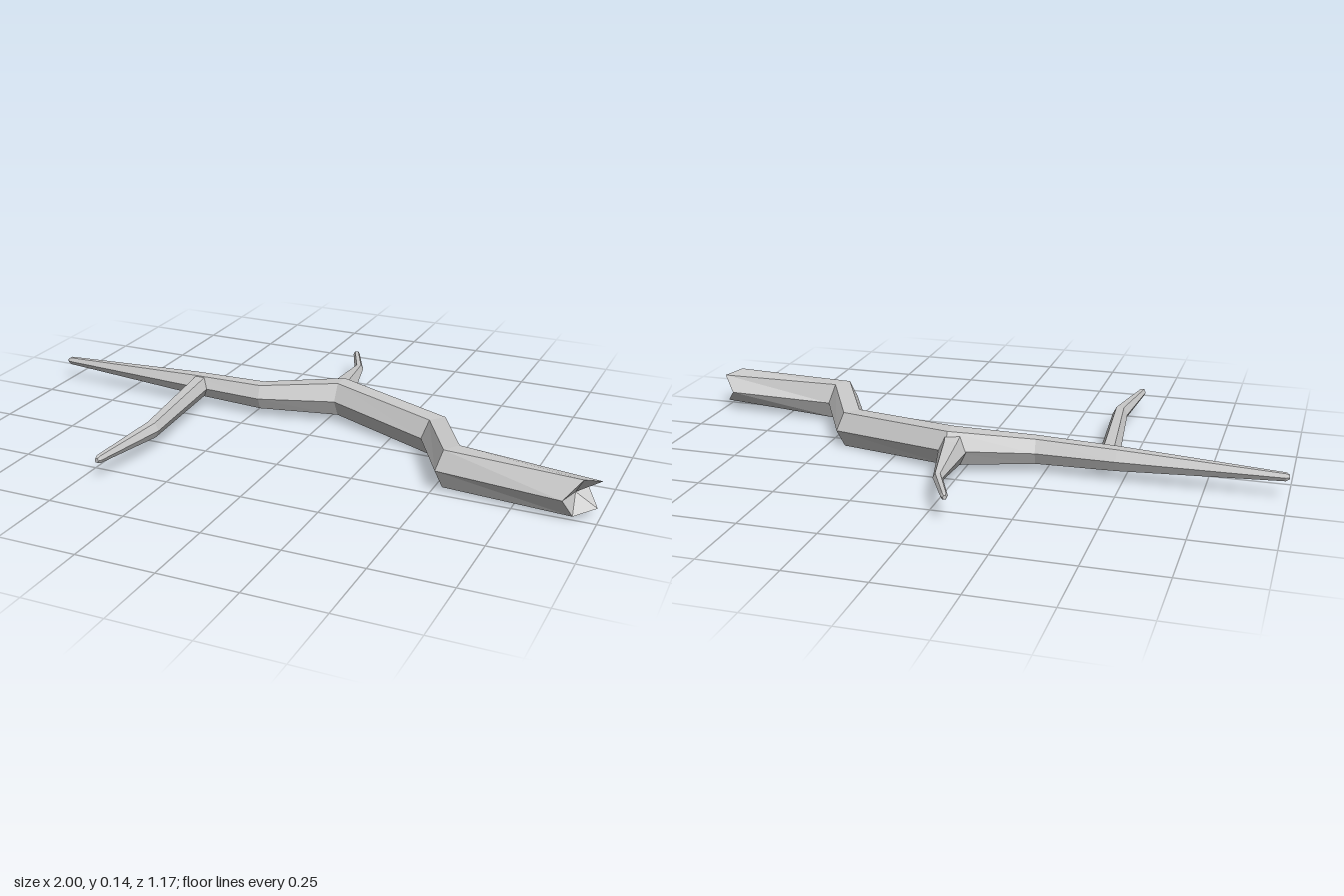
import * as THREE from 'three';

const SIDES = 6;
const UP = new THREE.Vector3(0, 1, 0);
const V = (a) => new THREE.Vector3(a[0], a[1], a[2]);

// Six-sided limb swept along points [x, y, z, radius], mitred at each bend.
// An optional broken rim (with its recessed centre) replaces the first ring.
function limb(name, path, material, rim, rimCentre) {
  const pts = path.map(V);
  const rings = pts.map((p, i) => {
    if (i === 0 && rim) return rim.map(V);
    const t = new THREE.Vector3();
    if (i > 0) t.add(p.clone().sub(pts[i - 1]).normalize());
    if (i < pts.length - 1) t.add(pts[i + 1].clone().sub(p).normalize());
    const side = t.cross(UP).normalize();
    const r = path[i][3];
    return Array.from({ length: SIDES }, (_, k) => {
      const a = (k / SIDES) * Math.PI * 2;
      return p.clone().addScaledVector(side, Math.cos(a) * r)
        .addScaledVector(UP, Math.sin(a) * r * 1.15);
    });
  });

  const out = [];
  const tri = (...corners) => corners.forEach((c) => out.push(c.x, c.y, c.z));
  const start = rimCentre ? V(rimCentre) : pts[0];
  const end = pts[pts.length - 1];
  for (let k = 0; k < SIDES; k++) {
    const n = (k + 1) % SIDES;
    for (let i = 0; i < rings.length - 1; i++) {
      const a = rings[i], b = rings[i + 1];
      tri(b[k], b[n], a[n]);
      tri(b[k], a[n], a[k]);
    }
    const last = rings[rings.length - 1];
    tri(start, rings[0][k], rings[0][n]);
    tri(end, last[n], last[k]);
  }
  const geo = new THREE.BufferGeometry();
  geo.setAttribute('position', new THREE.Float32BufferAttribute(out, 3));
  geo.computeVertexNormals();
  const mesh = new THREE.Mesh(geo, material);
  mesh.name = name;
  return mesh;
}

export function createModel() {
  const group = new THREE.Group();
  group.name = 'branch';
  const wood = new THREE.MeshStandardMaterial({ color: 0xcccccc, flatShading: true });

  // Crooked main stem, from the snapped thick end to the thin tip
  group.add(limb('mainStem', [
    [0.93, 0.075, 0.218, 0.066],
    [0.545, 0.075, 0.19, 0.061],
    [0.422, 0.062, -0.04, 0.058],
    [0.04, 0.085, -0.17, 0.056],
    [-0.22, 0.074, -0.1, 0.041],
    [-0.48, 0.074, -0.108, 0.035],
    [-0.99, 0.075, -0.12, 0.012],
    [-1.0, 0.075, -0.12, 0.006],
  ], wood, [
    [0.95, 0.075, 0.155], [1.0, 0.12, 0.205], [0.955, 0.135, 0.25],
    [0.905, 0.075, 0.285], [0.93, 0.015, 0.25], [0.99, 0.03, 0.2],
  ], [0.925, 0.075, 0.21]));

  // Long twig toward the front
  group.add(limb('frontTwig', [
    [-0.45, 0.074, -0.1, 0.033],
    [-0.408, 0.074, 0.31, 0.025],
    [-0.439, 0.074, 0.57, 0.012],
    [-0.44, 0.074, 0.582, 0.007],
  ], wood));

  // Short flared twig toward the back
  group.add(limb('backTwig', [
    [0.03, 0.08, -0.16, 0.052],
    [0.02, 0.079, -0.23, 0.041],
    [-0.006, 0.083, -0.44, 0.015],
    [-0.068, 0.085, -0.572, 0.011],
    [-0.073, 0.085, -0.582, 0.006],
  ], wood));

  return group;
}
